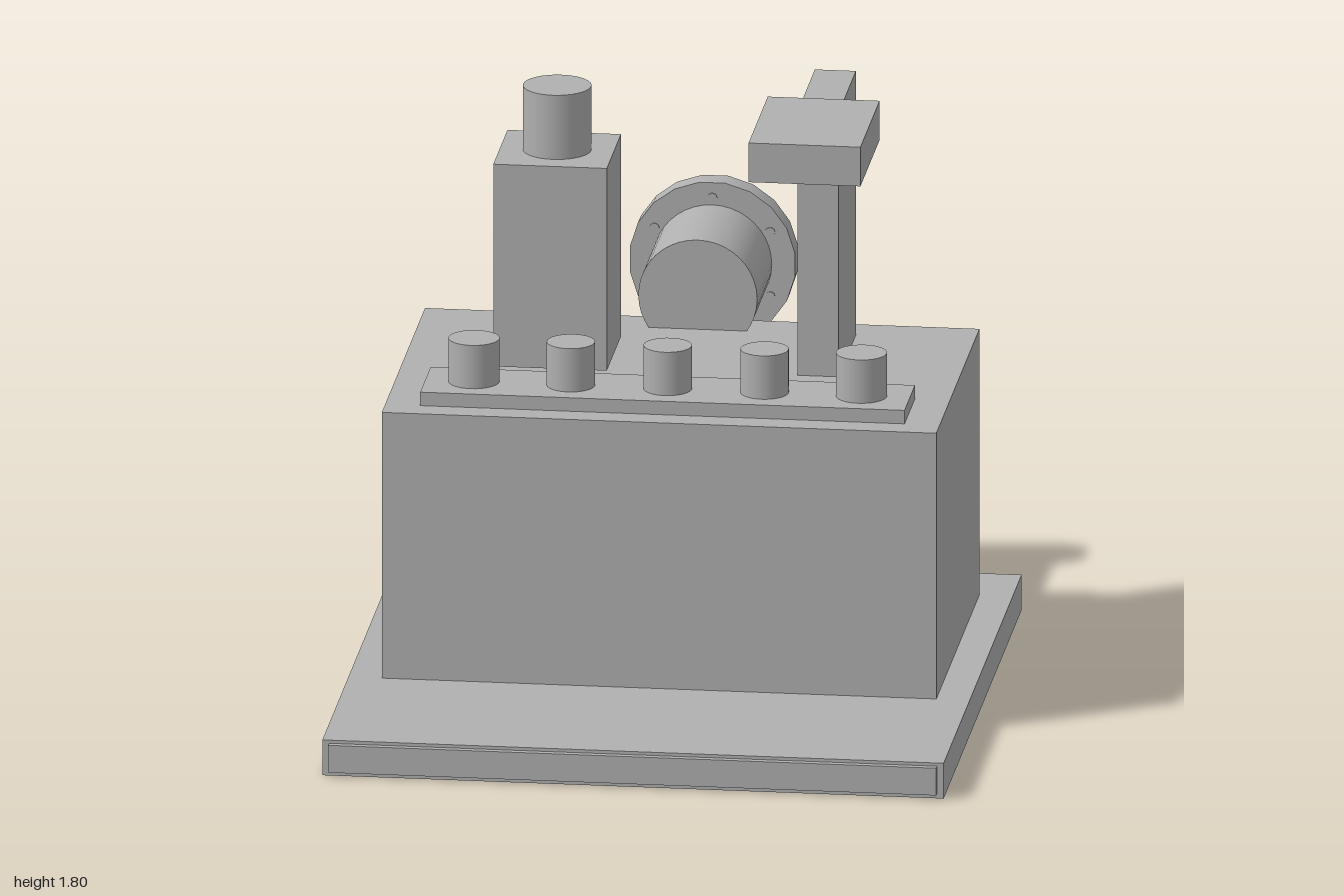
import * as THREE from 'three';

export function createModel() {
  const model = new THREE.Group();
  model.name = 'machine';
  const grey = new THREE.MeshStandardMaterial({ color: 0xb0b0b0 });
  grey.name = 'plain grey';

  const add = (name, geometry, x, y, z, parent = model) => {
    const mesh = new THREE.Mesh(geometry, grey);
    mesh.name = name;
    mesh.position.set(x, y, z);
    parent.add(mesh);
    return mesh;
  };
  // Box given by its extents along each axis
  const box = (name, [x0, x1], [y0, y1], [z0, z1]) =>
    add(name, new THREE.BoxGeometry(x1 - x0, y1 - y0, z1 - z0),
      (x0 + x1) / 2, (y0 + y1) / 2, (z0 + z1) / 2);
  const upright = (name, r, x, z, y0, y1) =>
    add(name, new THREE.CylinderGeometry(r, r, y1 - y0, 32), x, (y0 + y1) / 2, z);

  // Base plate with its front strip, and the main housing
  box('basePlate', [-0.93, 0.93], [0, 0.11], [-0.89, 0.98]);
  box('frontStrip', [-0.91, 0.91], [0.015, 0.1], [0.98, 1]);
  box('housing', [-0.83, 0.83], [0.11, 0.938], [-0.68, 0.355]);

  // Button panel
  box('buttonPanel', [-0.725, 0.725], [0.938, 0.98], [0.025, 0.275]);
  for (let i = -2; i <= 2; i++) {
    upright('button', Math.abs(i) === 2 ? 0.076 : 0.072, i * 0.29, 0.147, 0.98, 1.115);
  }

  // Square post with a round cap, standing just clear of the housing
  box('post', [-0.545, -0.205], [0.97, 1.6], [-0.375, -0.035]);
  upright('postCap', 0.102, -0.375, -0.205, 1.6, 1.8);

  // Upright arm with an overhanging head
  box('armColumn', [0.35, 0.473], [0.938, 1.76], [-0.577, -0.16]);
  box('armHead', [0.245, 0.58], [1.64, 1.762], [-0.288, 0.172]);

  // Horizontal pipe with a bolted flange at the back
  const outlet = new THREE.Group();
  outlet.name = 'outlet';
  outlet.position.y = 1.038;
  model.add(outlet);
  const along = (name, r, sides, z0, z1, x = 0, y = 0) => {
    const geometry = new THREE.CylinderGeometry(r, r, z1 - z0, sides).rotateX(Math.PI / 2);
    if (sides === 20) geometry.rotateZ(Math.PI / 20);
    return add(name, geometry, x, y, (z0 + z1) / 2, outlet);
  };
  along('pipe', 0.178, 40, -0.998, -0.573);
  along('flange', 0.25, 20, -0.996, -0.922);
  for (let i = 0; i < 6; i++) {
    const a = Math.PI / 2 + i * Math.PI / 3;
    along('bolt', 0.015, 12, -1, -0.918, 0.2 * Math.cos(a), 0.2 * Math.sin(a));
  }
  return model;
}
